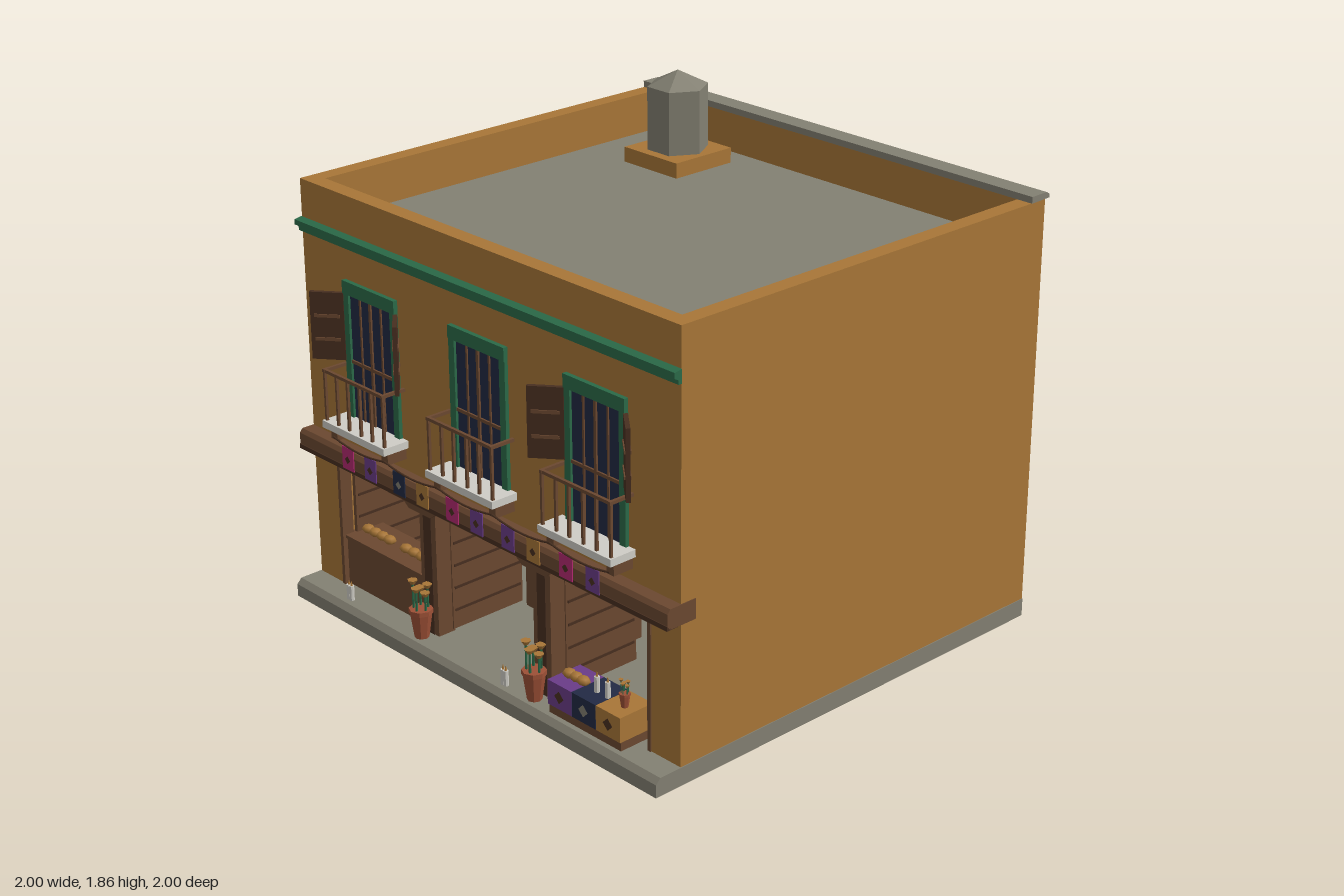
import * as THREE from 'three';

const paint = (name, color) => Object.assign(new THREE.MeshStandardMaterial({ color }), { name });
const M = {
  ochre: paint('ochre plaster', 0xa87637),
  stone: paint('grey stone', 0x838072),
  wood: paint('brown wood', 0x6b4830),
  dark: paint('dark wood', 0x482f20),
  green: paint('green trim', 0x2b6a48),
  navy: paint('navy glass', 0x222a44),
  pink: paint('pink cloth', 0xb22a70),
  purple: paint('purple cloth', 0x6a3c88),
  white: paint('white stone', 0xcfcdc6),
  clay: paint('terracotta', 0x9c5036),
};

function add(parent, name, geo, mat, x = 0, y = 0, z = 0) {
  const m = new THREE.Mesh(geo, mat);
  m.name = name;
  m.position.set(x, y, z);
  parent.add(m);
  return m;
}
// Box given by its extents along each axis
const box = (p, name, mat, x0, x1, y0, y1, z0, z1) => add(p, name,
  new THREE.BoxGeometry(x1 - x0, y1 - y0, z1 - z0), mat, (x0 + x1) / 2, (y0 + y1) / 2, (z0 + z1) / 2);
const cyl = (p, name, mat, r0, r1, h, x, y, z, n = 8) =>
  add(p, name, new THREE.CylinderGeometry(r0, r1, h, n).toNonIndexed(), mat, x, y + h / 2, z).geometry.computeVertexNormals();
function group(parent, name, x = 0, y = 0, z = 0) {
  const g = new THREE.Group();
  g.name = name;
  g.position.set(x, y, z);
  parent.add(g);
  return g;
}
const poly = (pts) => new THREE.Shape(pts.map(([x, y]) => new THREE.Vector2(x, y)));
const rect = (x0, x1, y0, y1) => [[x0, y0], [x1, y0], [x1, y1], [x0, y1]];
const extrude = (shape, depth) => new THREE.ExtrudeGeometry(shape, { depth, bevelEnabled: false });
// Profile given in (z, y), extruded along x
function alongX(p, name, mat, pts, x0, x1) {
  const m = add(p, name, extrude(poly(pts.map(([z, y]) => [-z, y])), x1 - x0), mat, x0);
  m.rotation.y = Math.PI / 2;
  return m;
}
const diamond = (p, mat, r, x, y, z) => add(p, 'diamondMotif', new THREE.CircleGeometry(r, 4), mat, x, y, z);

const W = 0.997, F = 0.885, FLOOR = 0.07, ROOF = 1.49, TOP = 1.65, T = 0.065;
const backOpenings = [[-0.6, 0.9, 1.27], [0, 0.9, 1.27], [0.6, 0.9, 1.27], [-0.6, 0.28, 0.58], [0.6, 0.28, 0.58]];

function shell(g) {
  alongX(g, 'plinth', M.stone, [[-F, 0], [1, 0], [1, 0.05], [0.98, FLOOR], [-F, FLOOR]], -1, 1);
  alongX(g, 'backStep', M.stone, [[-1, 0], [-F, 0], [-F, FLOOR], [-0.98, FLOOR], [-1, 0.05]], -0.19, 0.19);
  for (const s of [-1, 1]) {
    const [a, b] = [s * W, s * (W - T)].sort((p, q) => p - q);
    box(g, 'sideWall', M.ochre, a, b, FLOOR, TOP, -F, F);
  }
  const i = W - T;
  add(g, 'frontWall', extrude(poly([[-i, FLOOR], [-0.855, FLOOR], [-0.855, 0.6], [0.855, 0.6], [0.855, FLOOR],
    [i, FLOOR], [i, TOP], [-i, TOP]]), T), M.ochre, 0, 0, F - T);
  const back = poly(rect(-i, i, FLOOR, TOP));
  for (const [x, y0, y1] of [...backOpenings, [0, 0.075, 0.6]])
    back.holes.push(new THREE.Path(rect(x - 0.115, x + 0.115, y0, y1).map((p) => new THREE.Vector2(...p))));
  add(g, 'backWall', extrude(back, T), M.ochre, 0, 0, -F);
  box(g, 'roofDeck', M.stone, -i, i, ROOF - 0.04, ROOF, -F + T, F - T);
  alongX(g, 'backCoping', M.stone, [[-0.905, 1.652], [-0.81, 1.65], [-0.81, 1.675], [-0.89, 1.675], [-0.905, 1.665]], -1, 1);
  alongX(g, 'cornice', M.green, [[F, 1.455], [0.9, 1.455], [0.9, 1.47], [0.917, 1.48], [0.917, 1.5], [F, 1.505]], -1, 1);
  // Rooftop water tank
  box(g, 'tankBase', M.ochre, -0.7, -0.41, ROOF, 1.55, -0.72, -0.43);
  for (const [r, h, y] of [[0.12, 0.25, 1.55], [0, 0.06, 1.8]]) {
    const t = new THREE.CylinderGeometry(r, 0.12, h, 6).rotateY(Math.PI / 6).toNonIndexed();
    t.computeVertexNormals();
    add(g, r ? 'waterTank' : 'tankRoof', t, M.stone, -0.555, y + h / 2, -0.575);
  }
}

function backSide(g) {
  for (const [x, y0, y1] of backOpenings) {
    const w = group(g, 'backWindow', x, 0, -F);
    box(w, 'glass', M.navy, -0.115, 0.115, y0, y1, 0.05, 0.06);
    for (const s of [-1, 1]) box(w, 'jamb', M.green, s * 0.11 - 0.006, s * 0.11 + 0.006, y0, y1, 0.002, 0.055);
    box(w, 'head', M.green, -0.115, 0.115, y1 - 0.012, y1, 0.002, 0.055);
    box(w, 'mullion', M.dark, -0.008, 0.008, y0, y1, 0.035, 0.055);
    box(w, 'sill', M.white, -0.13, 0.13, y0 - 0.018, y0 + 0.002, -0.02, 0.05);
  }
  const d = group(g, 'backDoor', 0, 0, -F);
  for (const s of [-1, 1]) {
    box(d, 'leaf', M.wood, s * 0.054 - 0.051, s * 0.054 + 0.051, FLOOR, 0.6, 0.045, 0.06);
    box(d, 'jamb', M.green, s * 0.11 - 0.006, s * 0.11 + 0.006, FLOOR, 0.6, 0.002, 0.055);
  }
  box(d, 'doorSeam', M.dark, -0.006, 0.006, FLOOR, 0.6, 0.04, 0.06);
  box(d, 'lintel', M.wood, -0.16, 0.16, 0.605, 0.655, -0.02, 0.02);
  for (const x of [-0.305, 0.295]) box(g, 'waterSpout', M.clay, x - 0.03, x + 0.03, 1.49, 1.535, -1, -F + 0.02);
}

function frontWindow(g, x, shutters) {
  const w = group(g, 'balconyWindow', x, 0, F);
  box(w, 'glass', M.navy, -0.12, 0.12, 0.8, 1.28, 0, 0.005);
  for (const s of [-1, 1]) {
    box(w, 'frameSide', M.green, s * 0.135 - 0.015, s * 0.135 + 0.015, 0.8, 1.285, -0.01, 0.015);
    box(w, 'bracket', M.wood, s * 0.15 - 0.018, s * 0.15 + 0.018, 0.725, 0.77, 0, 0.085);
    box(w, 'sideRail', M.wood, s * 0.17 - 0.006, s * 0.17 + 0.006, 0.99, 1.002, 0, 0.105);
    box(w, 'casement', M.wood, s * 0.06 - 0.004, s * 0.06 + 0.004, 0.8, 1.28, 0, 0.01);
    for (const b of [0.17, 0.1, 0.035]) box(w, 'baluster', M.wood, s * b - 0.005, s * b + 0.005, 0.8, 1, 0.093, 0.103);
    if (!shutters) continue;
    // Louvred shutter hinged at the frame and swung part open
    const h = group(w, 'shutter', s * 0.15, 0, 0.012);
    h.rotation.y = s > 0 ? -0.68 : Math.PI + 0.68;
    box(h, 'panel', M.dark, 0, 0.125, 1.02, 1.28, -0.008, 0.008);
    for (const y of [1.1, 1.19]) box(h, 'slat', M.wood, 0.015, 0.11, y - 0.006, y + 0.006, -0.012, 0.012);
  }
  box(w, 'frameHead', M.green, -0.15, 0.15, 1.28, 1.33, -0.01, 0.018);
  box(w, 'mullion', M.wood, -0.006, 0.006, 0.8, 1.28, 0, 0.012);
  box(w, 'transom', M.wood, -0.12, 0.12, 1.015, 1.027, 0, 0.012);
  box(w, 'topRail', M.wood, -0.176, 0.176, 0.99, 1.002, 0.092, 0.104);
  box(w, 'balconySlab', M.white, -0.182, 0.182, 0.772, 0.8, 0, 0.112);
}

function bunting(g) {
  const colours = ['pink', 'purple', 'navy', 'ochre', 'pink', 'purple', 'purple', 'ochre', 'pink', 'purple'];
  const z = 0.972;
  for (let k = 0; k < 5; k++) {
    const x = -0.6 + k * 0.3;
    const curve = new THREE.QuadraticBezierCurve3(new THREE.Vector3(x - 0.15, 0.735, z),
      new THREE.Vector3(x, 0.7, z), new THREE.Vector3(x + 0.15, 0.735, z));
    add(g, 'buntingString', new THREE.TubeGeometry(curve, 8, 0.004, 5), M.dark);
    for (const j of [0, 1]) {
      const fx = x + (j ? 0.065 : -0.068), c = colours[k * 2 + j];
      box(g, 'flag', M[c], fx - 0.033, fx + 0.033, 0.63, 0.718, z - 0.002, z + 0.002);
      diamond(g, c === 'navy' ? M.stone : M.dark, 0.016, fx, 0.67, z + 0.004);
    }
  }
}

function flowerPot(g, x, y, z, s) {
  const p = group(g, 'flowerPot', x, y, z);
  p.scale.setScalar(s);
  cyl(p, 'pot', M.clay, 0.042, 0.028, 0.1, 0, 0, 0);
  cyl(p, 'potRim', M.clay, 0.046, 0.046, 0.018, 0, 0.1, 0);
  for (let k = 0; k < 5; k++) {
    const a = k * 1.257, sx = Math.cos(a) * 0.028, sz = Math.sin(a) * 0.028, h = 0.06 + (k % 3) * 0.02;
    cyl(p, 'stem', M.green, 0.005, 0.005, h, sx, 0.115, sz, 5);
    cyl(p, 'bloom', M.ochre, 0.02, 0.008, 0.018, sx, 0.115 + h, sz, 6);
  }
}
function loaves(g, x0, x1, y, z, n) {
  for (let k = 0; k < n; k++) {
    const geo = new THREE.SphereGeometry(0.03, 7, 4).scale(1, 0.55, 0.8);
    add(g, 'loaf', geo, M.ochre, x0 + (x1 - x0) * k / (n - 1), y + 0.01, z);
  }
}
function bottle(g, x, y, z) {
  cyl(g, 'candle', M.white, 0.01, 0.01, 0.06, x, y, z);
  cyl(g, 'candleTip', M.ochre, 0.001, 0.005, 0.018, x, y + 0.06, z, 5);
}

function shop(g) {
  // Interior lining
  box(g, 'shopBackWall', M.stone, -0.93, 0.93, FLOOR, 0.6, 0.18, 0.2);
  box(g, 'shopCeiling', M.stone, -0.93, 0.93, 0.6, 0.62, 0.2, F - T);
  for (const s of [-1, 1]) {
    box(g, 'shopSideWall', M.stone, s * 0.893 - 0.037, s * 0.893 + 0.037, FLOOR, 0.6, 0.2, F - T);
    box(g, 'rackPost', M.wood, s * 0.835 - 0.01, s * 0.835 + 0.01, FLOOR, 0.56, 0.33, 0.35);
    box(g, 'doorPost', M.wood, s * 0.848 - 0.008, s * 0.848 + 0.008, FLOOR, 0.6, 0.84, 0.89);
    // Columns with folded door leaves behind them
    box(g, 'column', M.wood, s * 0.313 - 0.045, s * 0.313 + 0.045, FLOOR, 0.6, 0.82, 0.895);
    box(g, 'columnGroove', M.dark, s * 0.313 - 0.022, s * 0.313 + 0.022, FLOOR, 0.57, 0.89, 0.898);
    add(g, 'capital', extrude(poly([[-0.06, 0.565], [0.06, 0.565], [0.088, 0.585], [0.088, 0.605], [-0.088, 0.605], [-0.088, 0.585]]), 0.11),
      M.wood, s * 0.313, 0, 0.82);
    for (const x of [s * 0.313 - 0.042, s * 0.313 + 0.042, s * 0.838]) {
      box(g, 'doorLeaf', M.wood, x - 0.008, x + 0.008, FLOOR + 0.01, 0.585, 0.5, 0.83);
      for (let y = 0.15; y < 0.56; y += 0.09) box(g, 'doorBatten', M.dark, x - 0.011, x + 0.011, y, y + 0.01, 0.51, 0.82);
    }
  }
  for (const y of [0.19, 0.3, 0.43]) box(g, 'shelf', M.wood, -0.84, 0.84, y, y + 0.012, 0.2, 0.35);
  box(g, 'rackPost', M.wood, -0.01, 0.01, FLOOR, 0.55, 0.33, 0.35);
  for (const x of [-0.77, -0.24, 0.23, 0.75]) box(g, 'tray', M.ochre, x - 0.05, x + 0.05, 0.442, 0.456, 0.24, 0.35);
  for (const x of [-0.75, -0.46, 0.4, 0.72]) loaves(g, x - 0.025, x + 0.025, 0.315, 0.3, 2);

  // Counters
  box(g, 'leftCounter', M.wood, -0.85, -0.365, FLOOR, 0.262, 0.72, 0.87);
  box(g, 'leftCounterTop', M.wood, -0.853, -0.36, 0.262, 0.274, 0.71, 0.878);
  loaves(g, -0.8, -0.67, 0.278, 0.8, 4);
  loaves(g, -0.57, -0.43, 0.278, 0.8, 4);
  box(g, 'middleCounter', M.wood, -0.24, 0.24, FLOOR, 0.312, 0.36, 0.5);
  box(g, 'middleCounterTop', M.wood, -0.25, 0.25, 0.312, 0.325, 0.352, 0.51);
  loaves(g, -0.08, 0.08, 0.33, 0.44, 5);
  box(g, 'rightTable', M.wood, 0.42, 0.785, FLOOR, 0.195, 0.82, 0.96);
  ['purple', 'navy', 'ochre'].forEach((c, k) => {
    const x = 0.418 + k * 0.124;
    box(g, 'tableCloth', M[c], x, x + 0.122, 0.105, 0.2, 0.815, 0.966);
    diamond(g, c === 'navy' ? M.stone : M.dark, 0.024, x + 0.061, 0.152, 0.968);
  });
  loaves(g, 0.46, 0.53, 0.205, 0.9, 3);
  for (const x of [0.6, 0.655]) bottle(g, x, 0.2, 0.9);
  flowerPot(g, 0.74, 0.2, 0.9, 0.45);
  for (const x of [-0.735, -0.72, 0.16, 0.175]) bottle(g, x, FLOOR, 0.95);
  for (const x of [-0.315, 0.315]) flowerPot(g, x, FLOOR, 0.938, 0.98);

  // Beam over the shopfront
  alongX(g, 'shopBeam', M.wood, [[0.82, 0.605], [0.935, 0.605], [0.948, 0.62], [0.948, 0.665], [0.935, 0.68], [0.82, 0.68]], -1, 1);
  box(g, 'beamEdge', M.dark, -1, 1, 0.604, 0.622, 0.9, 0.951);
}

export function createModel() {
  const model = new THREE.Group();
  model.name = 'shopHouse';
  shell(group(model, 'shell'));
  backSide(group(model, 'backSide'));
  const f = group(model, 'frontWindows');
  for (const x of [-0.6, 0, 0.6]) frontWindow(f, x, x !== 0);
  bunting(group(model, 'bunting'));
  shop(group(model, 'shopfront'));
  return model;
}
